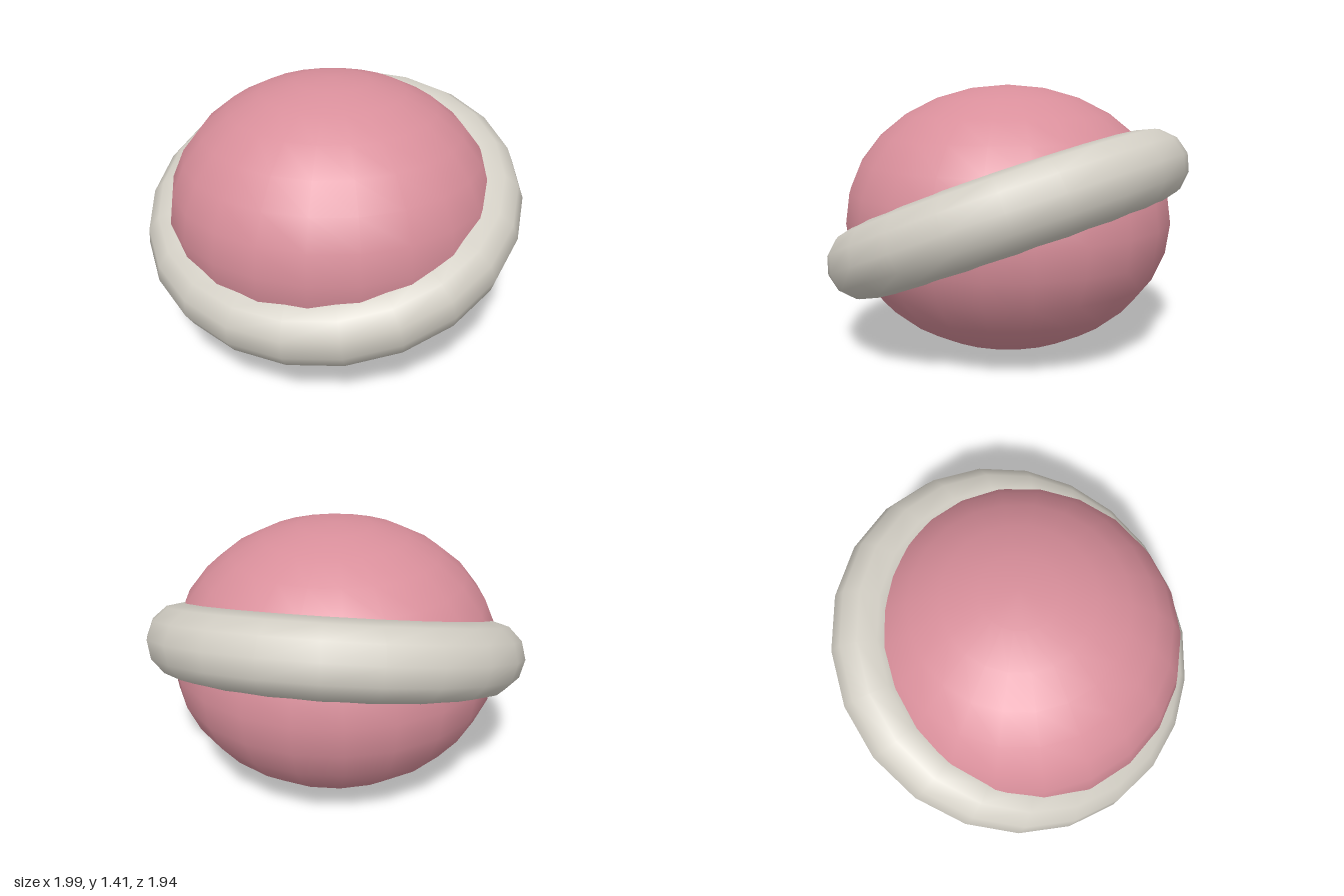
import * as THREE from 'three';

export function createModel() {
  const model = new THREE.Group();
  const pink = new THREE.MeshStandardMaterial({ color: 0xd98f9b });
  pink.name = 'dusty pink';
  const grey = new THREE.MeshStandardMaterial({ color: 0xd3cfc5 });
  grey.name = 'warm grey';

  // Flattened globe, standing on the ground
  const globe = new THREE.Mesh(new THREE.SphereGeometry(1, 22, 14), pink);
  globe.name = 'globe';
  globe.scale.set(0.873, 0.707, 0.88);
  globe.position.y = 0.707;
  model.add(globe);

  // Thick ring around the globe, low at the front left and high at the back right
  const ring = new THREE.Mesh(new THREE.TorusGeometry(0.825, 0.192, 12, 22), grey);
  ring.name = 'ring';
  const axis = new THREE.Vector3(0.176, 0.93, 0.32).normalize();
  ring.quaternion.setFromUnitVectors(new THREE.Vector3(0, 0, 1), axis);
  ring.position.y = 0.712;
  model.add(ring);

  return model;
}
